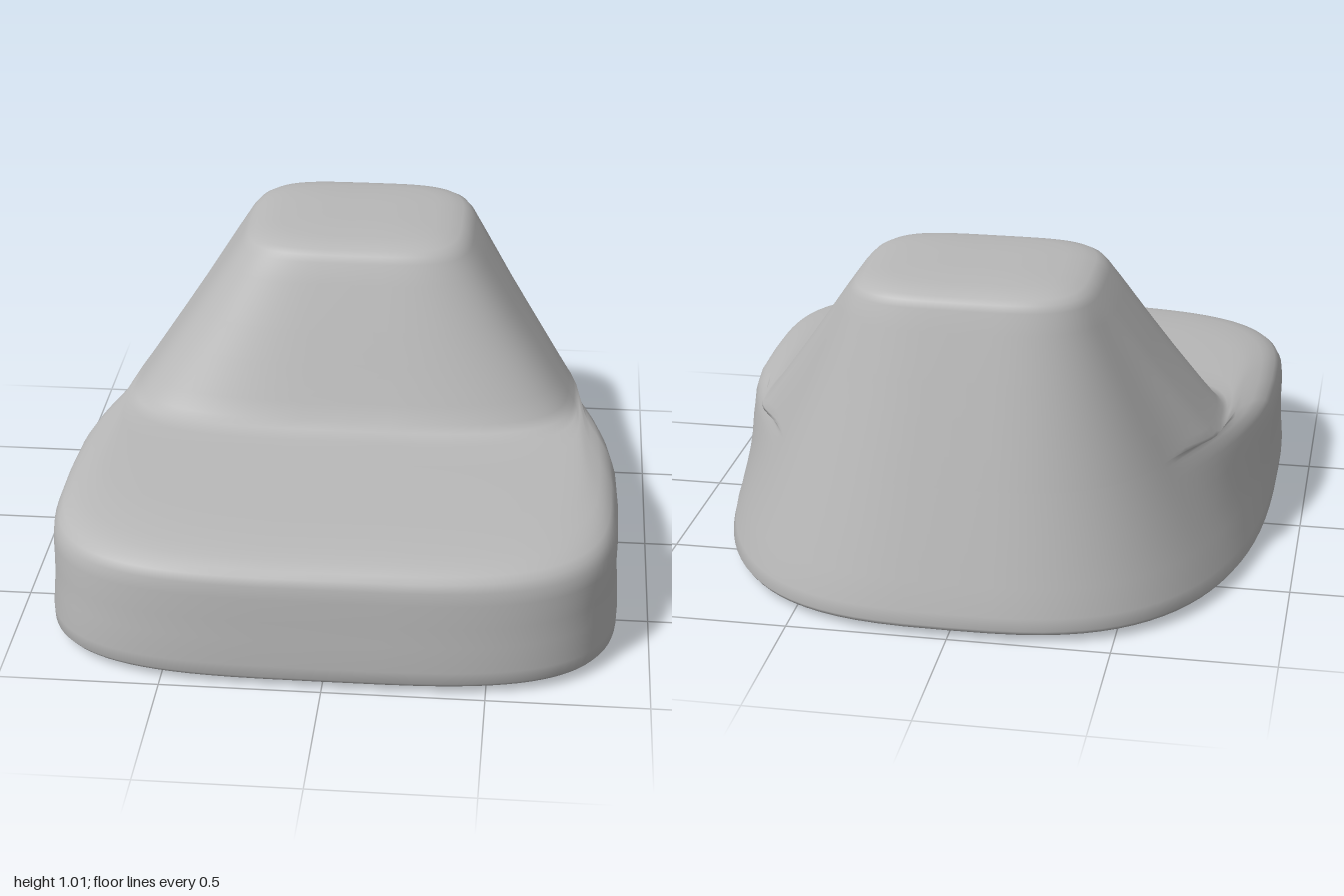
import * as THREE from 'three';

const SEGMENTS = 96;

// Horizontal sections, bottom to top:
// [y, half width, z of widest point, front z, back z, front roundness, back roundness]
const BASE = [0.045, 0.903, 0.4, 0.995, -1.0, 3.5, 2.9];
const CROWN = [0.95, 0.395, -0.4, -0.066, -0.735, 4, 3.7];
const SECTIONS = [
  // flat underside and rolled lower edge
  [0.0, 0.0, 0.2, 0.2, 0.2, 3.5, 2.9],
  [0.005, 0.8, 0.36, 0.9, -0.88, 3.5, 2.9],
  [0.02, 0.885, 0.4, 0.975, -0.985, 3.5, 2.9],
  BASE,
  // body wall
  [0.2, 0.89, 0.4, 0.988, -0.952, 3.5, 2.9],
  [0.34, 0.893, 0.38, 0.985, -0.912, 3.5, 2.9],
  // rounded shoulder and front shelf
  [0.388, 0.875, 0.33, 0.97, -0.9, 3.5, 2.9],
  [0.415, 0.84, 0.25, 0.9, -0.893, 3.5, 2.9],
  [0.433, 0.79, 0.1, 0.75, -0.888, 3.5, 2.9],
  [0.442, 0.765, -0.1, 0.4, -0.884, 3.5, 2.9],
  [0.446, 0.75, -0.22, 0.15, -0.882, 3.5, 2.9],
  // tapering tower
  [0.49, 0.715, -0.25, 0.12, -0.868, 3.5, 2.9],
  [0.7, 0.565, -0.33, 0.035, -0.808, 3.7, 3.2],
  CROWN,
  // softly crowned top
  [0.988, 0.36, -0.405, -0.09, -0.72, 4, 3.8],
  [1.007, 0.29, -0.405, -0.15, -0.66, 4, 4],
  [1.015, 0.15, -0.405, -0.28, -0.53, 4, 4],
  [1.015, 0.0, -0.405, -0.405, -0.405, 4, 4],
];

const mix = (a, b, t) => a.map((v, i) => v + (b[i] - v) * t);

// Point on a rounded-square section with separate front and back halves
function sectionPoint([y, w, mid, front, back, nf, nb], angle) {
  const c = Math.cos(angle), s = Math.sin(angle);
  const n = s >= 0 ? nf : nb;
  const x = w * Math.sign(c) * Math.pow(Math.abs(c), 2 / n);
  const k = Math.pow(Math.abs(s), 2 / n);
  return [x, y, mid + k * ((s >= 0 ? front : back) - mid)];
}

// Ring of coordinates; towards the back the shoulder fades into one straight wall
function ring(section) {
  const points = [];
  const t = (section[0] - BASE[0]) / (CROWN[0] - BASE[0]);
  for (let j = 0; j < SEGMENTS; j++) {
    const angle = (j / SEGMENTS) * Math.PI * 2;
    let p = sectionPoint(section, angle);
    if (t > 0 && t < 1) {
      const wall = mix(sectionPoint(BASE, angle), sectionPoint(CROWN, angle), t);
      p = mix(p, wall, THREE.MathUtils.smoothstep(-Math.sin(angle), 0, 0.55));
    }
    points.push(...p);
  }
  return points;
}

// Cuts the corners of the ring sequence to soften it, keeping both ends
function soften(rows) {
  const out = [rows[0]];
  for (let i = 0; i < rows.length - 1; i++) {
    out.push(mix(rows[i], rows[i + 1], 0.22), mix(rows[i], rows[i + 1], 0.78));
  }
  out.push(rows[rows.length - 1]);
  return out;
}

// Skin over the rings, closed to a point at both ends
function loft(rows) {
  const index = [];
  for (let i = 0; i < rows.length - 1; i++) {
    for (let j = 0; j < SEGMENTS; j++) {
      const a = i * SEGMENTS + j, b = i * SEGMENTS + (j + 1) % SEGMENTS;
      const c = a + SEGMENTS, d = b + SEGMENTS;
      if (i === 0) index.push(a, c, d);
      else if (i === rows.length - 2) index.push(a, c, b);
      else index.push(a, c, b, b, c, d);
    }
  }
  const geometry = new THREE.BufferGeometry();
  geometry.setAttribute('position', new THREE.Float32BufferAttribute(rows.flat(), 3));
  geometry.setIndex(index);
  geometry.computeVertexNormals();
  return geometry;
}

export function createModel() {
  const group = new THREE.Group();
  group.name = 'steppedBlock';
  const grey = new THREE.MeshStandardMaterial({ color: 0xb8b8b8 });
  grey.name = 'plain grey';

  // One continuous skin: base, shelf and tower
  const body = new THREE.Mesh(loft(soften(SECTIONS.map(ring))), grey);
  body.name = 'body';
  group.add(body);
  return group;
}
